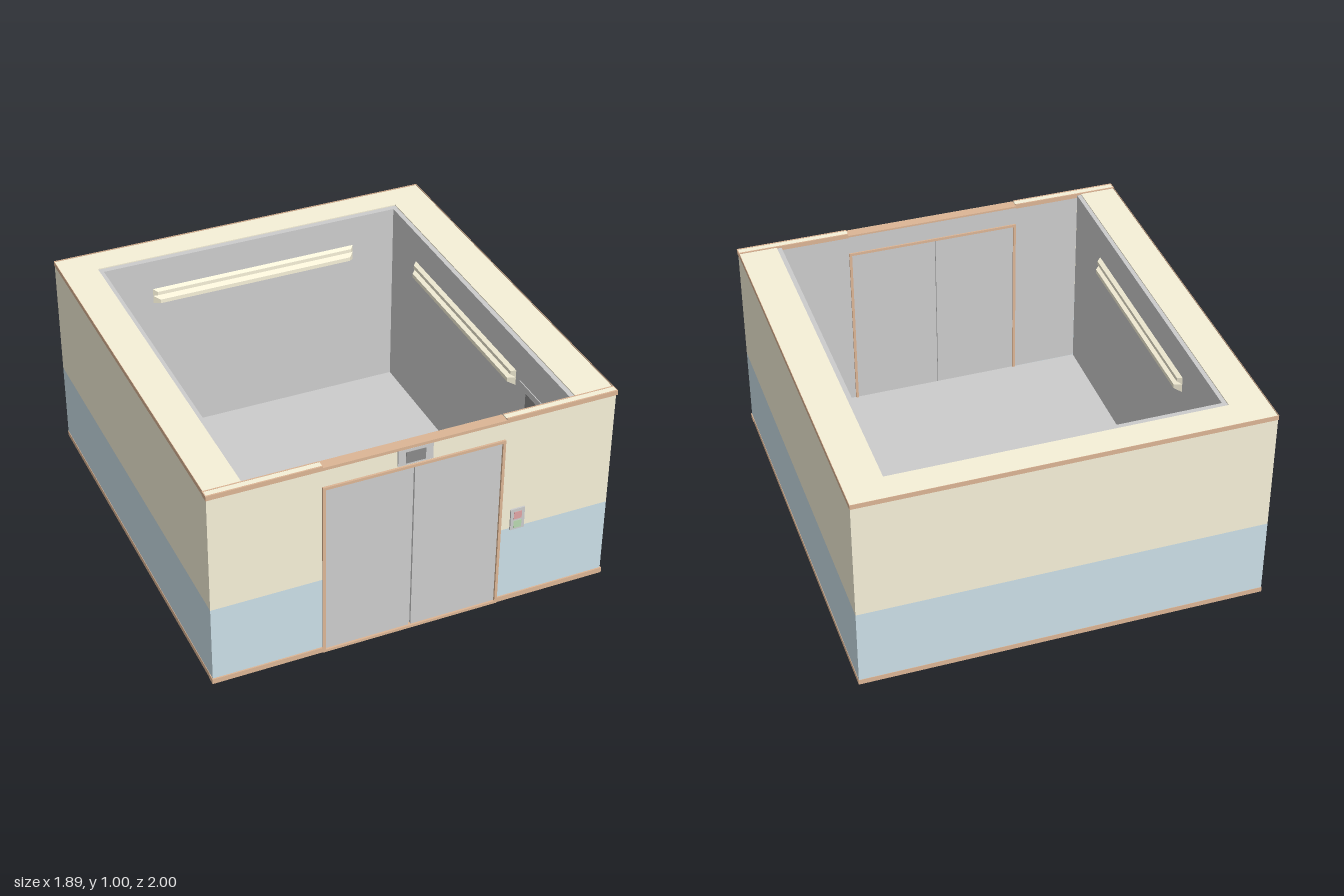
import * as THREE from 'three';

const mat = (color) => new THREE.MeshStandardMaterial({ color, flatShading: true, side: THREE.DoubleSide });
const GREY = mat(0xcccccc), CREAM = mat(0xf6f0d8), BLUE = mat(0xcbdfe7), BROWN = mat(0xdcb595);
const DARK = mat(0x8a8a8a), RED = mat(0xe0a4a4), GREEN = mat(0xb8d8b0);

// Box given by its limits on each axis
function box(parent, name, m, [x0, x1], [y0, y1], [z0, z1]) {
  const mesh = new THREE.Mesh(new THREE.BoxGeometry(x1 - x0, y1 - y0, z1 - z0), m);
  mesh.position.set((x0 + x1) / 2, (y0 + y1) / 2, (z0 + z1) / 2);
  mesh.name = name;
  parent.add(mesh);
}

// Two stacked chamfered bars, their backs on the wall, facing +z
function rail(parent, name, x, z, turn) {
  const group = new THREE.Group();
  group.name = name;
  for (const [bar, y, h, d] of [['railUpperBar', 0.82, 0.036, 0.02], ['railLowerBar', 0.78, 0.04, 0.03]]) {
    const geo = new THREE.BoxGeometry(1.04, h, d);
    const p = geo.attributes.position;
    for (let i = 0; i < p.count; i++) {
      if (p.getZ(i) > 0) {
        p.setX(i, p.getX(i) - Math.sign(p.getX(i)) * d * 0.9);
        p.setY(i, p.getY(i) * 0.5);
      }
    }
    geo.translate(0, y, d / 2);
    geo.computeVertexNormals();
    const mesh = new THREE.Mesh(geo, CREAM);
    mesh.name = bar;
    group.add(mesh);
  }
  group.position.set(x, 0, z);
  group.rotation.y = turn;
  parent.add(group);
}

export function createModel() {
  const model = new THREE.Group();
  const L = -0.943, R = 0.94, B = -0.998, F = 0.99;  // outer shell
  const zIn = 0.962;                                 // back of the front wall
  const dL = -0.435, dR = 0.41, dTop = 0.89;         // doorway

  // Two-tone outer walls, open underneath
  const shell = new THREE.Group();
  shell.name = 'outerWalls';
  model.add(shell);
  for (const [m, y, tone] of [[BLUE, [0.004, 0.4], 'lower'], [CREAM, [0.4, 0.99], 'upper']]) {
    box(shell, tone + 'RightWall', m, [L, L + 0.008], y, [B, F]);
    box(shell, tone + 'LeftWall', m, [R - 0.008, R], y, [B, F]);
    box(shell, tone + 'BackWall', m, [L, R], y, [B, B + 0.008]);
    const yDoor = [y[0], Math.min(y[1], dTop)];
    box(shell, tone + 'FrontWallRight', m, [L, dL], yDoor, [zIn, F]);
    box(shell, tone + 'FrontWallLeft', m, [dR, R], yDoor, [zIn, F]);
  }
  box(shell, 'frontLintel', CREAM, [L, R], [dTop, 0.985], [zIn, F]);
  box(shell, 'frontCapRight', CREAM, [L, dL], [0.985, 0.999], [zIn, F]);
  box(shell, 'frontCapLeft', CREAM, [dR, R], [0.985, 0.999], [zIn, F]);

  // Flat rim between the outer walls and the cabin
  box(shell, 'rimRight', CREAM, [L, -0.775], [0.982, 0.995], [B, 0.956]);
  box(shell, 'rimLeft', CREAM, [0.76, R], [0.982, 0.995], [B, 0.956]);
  box(shell, 'rimBack', CREAM, [-0.775, 0.76], [0.982, 0.995], [B, -0.858]);

  // Brown trim around the top and the bottom, almost flush with the walls
  for (const [name, y] of [['topTrim', [0.977, 1]], ['bottomTrim', [0, 0.025]]]) {
    const trim = new THREE.Group();
    trim.name = name;
    model.add(trim);
    box(trim, name + 'Right', BROWN, [L - 0.002, L], y, [-1, F]);
    box(trim, name + 'Left', BROWN, [R, R + 0.002], y, [-1, F]);
    box(trim, name + 'Back', BROWN, [L, R], y, [-1, B]);
    // Front wall trim on both faces, wrapping round the corners
    for (const [face, z] of [['Front', [F, 0.997]], ['Inner', [0.956, zIn]]]) {
      box(trim, name + face + 'Right', BROWN, [L - 0.004, dL], y, z);
      box(trim, name + face + 'Left', BROWN, [dR, R + 0.004], y, z);
    }
    box(trim, name + 'CornerRight', BROWN, [L - 0.004, L], y, [zIn, F]);
    box(trim, name + 'CornerLeft', BROWN, [R, R + 0.004], y, [zIn, F]);
  }
  box(model, 'frontBaseRight', BROWN, [L, dL], [0, 0.004], [zIn, F]);
  box(model, 'frontBaseLeft', BROWN, [dR, R], [0, 0.004], [zIn, F]);
  box(model, 'doorTopTrim', BROWN, [dL, dR], [0.985, 0.994], [0.95, 1]);
  box(model, 'doorTopTrimFace', BROWN, [dL, dR], [0.977, 0.985], [F, 0.997]);

  // Cabin lining and floor
  const cabin = new THREE.Group();
  cabin.name = 'cabin';
  model.add(cabin);
  box(cabin, 'floor', GREY, [-0.765, 0.755], [0, 0.03], [-0.853, 0.956]);
  box(cabin, 'cabinWallRight', GREY, [-0.775, -0.755], [0.03, 0.99], [-0.858, 0.956]);
  box(cabin, 'cabinWallLeft', GREY, [0.737, 0.76], [0.03, 0.99], [-0.858, 0.956]);
  box(cabin, 'cabinWallBack', GREY, [-0.755, 0.737], [0.03, 0.99], [-0.858, -0.83]);
  box(cabin, 'cabinFrontRight', GREY, [-0.755, dL], [0.03, 0.977], [0.957, zIn]);
  box(cabin, 'cabinFrontLeft', GREY, [dR, 0.737], [0.03, 0.977], [0.957, zIn]);
  box(cabin, 'cabinFrontTop', GREY, [dL, dR], [dTop, 0.985], [0.957, zIn]);

  // Door frame and two sliding panels
  const door = new THREE.Group();
  door.name = 'door';
  model.add(door);
  const t = 0.013, z = [0.95, 1];
  box(door, 'frameRight', BROWN, [dL, dL + t], [0, dTop], z);
  box(door, 'frameLeft', BROWN, [dR - t, dR], [0, dTop], z);
  box(door, 'frameTop', BROWN, [dL + t, dR - t], [dTop - t, dTop], z);
  box(door, 'sill', BROWN, [dL + t, dR - t], [0, t], z);
  const mid = -0.018;
  box(door, 'doorPanelRight', GREY, [dL + t, mid - 0.006], [t, dTop - t], [0.957, 0.99]);
  box(door, 'doorPanelLeft', GREY, [mid + 0.006, dR - t], [t, dTop - t], [0.957, 0.99]);
  box(door, 'doorSeam', GREY, [mid - 0.006, mid + 0.006], [t, dTop - t], [0.967, 0.978]);

  // Display above the door
  box(model, 'display', GREY, [-0.095, 0.067], [0.898, 0.977], [0.985, 0.998]);
  box(model, 'displayScreen', DARK, [-0.06, 0.032], [0.907, 0.963], [0.99, 1]);

  // Call panel beside the door
  box(model, 'callPanel', GREY, [0.456, 0.524], [0.393, 0.503], [0.98, 0.998]);
  box(model, 'callButtonUp', RED, [0.471, 0.509], [0.45, 0.488], [0.99, 1]);
  box(model, 'callButtonDown', GREEN, [0.471, 0.509], [0.402, 0.44], [0.99, 1]);

  // Bars on the cabin walls
  rail(cabin, 'railBack', 0, -0.83, 0);
  rail(cabin, 'railRight', -0.753, 0.1, Math.PI / 2);
  rail(cabin, 'railLeft', 0.737, -0.045, -Math.PI / 2);

  // Control panel inside the cabin
  const panel = new THREE.Group();
  panel.name = 'controlPanel';
  cabin.add(panel);
  box(panel, 'controlPlate', GREY, [0.733, 0.737], [0.41, 0.81], [0.515, 0.74]);
  box(panel, 'controlScreen', DARK, [0.731, 0.734], [0.7, 0.78], [0.58, 0.69]);
  const key = (name, m, y, zc) =>
    box(panel, name, m, [0.728, 0.734], [y - 0.015, y + 0.015], [zc - 0.016, zc + 0.016]);
  for (let row = 0; row < 4; row++) {
    for (let col = 0; col < 3; col++) key('floorButton', GREY, 0.65 - row * 0.048, 0.575 + col * 0.055);
  }
  key('alarmButton', RED, 0.45, 0.6);
  key('openButton', GREEN, 0.45, 0.66);

  return model;
}
